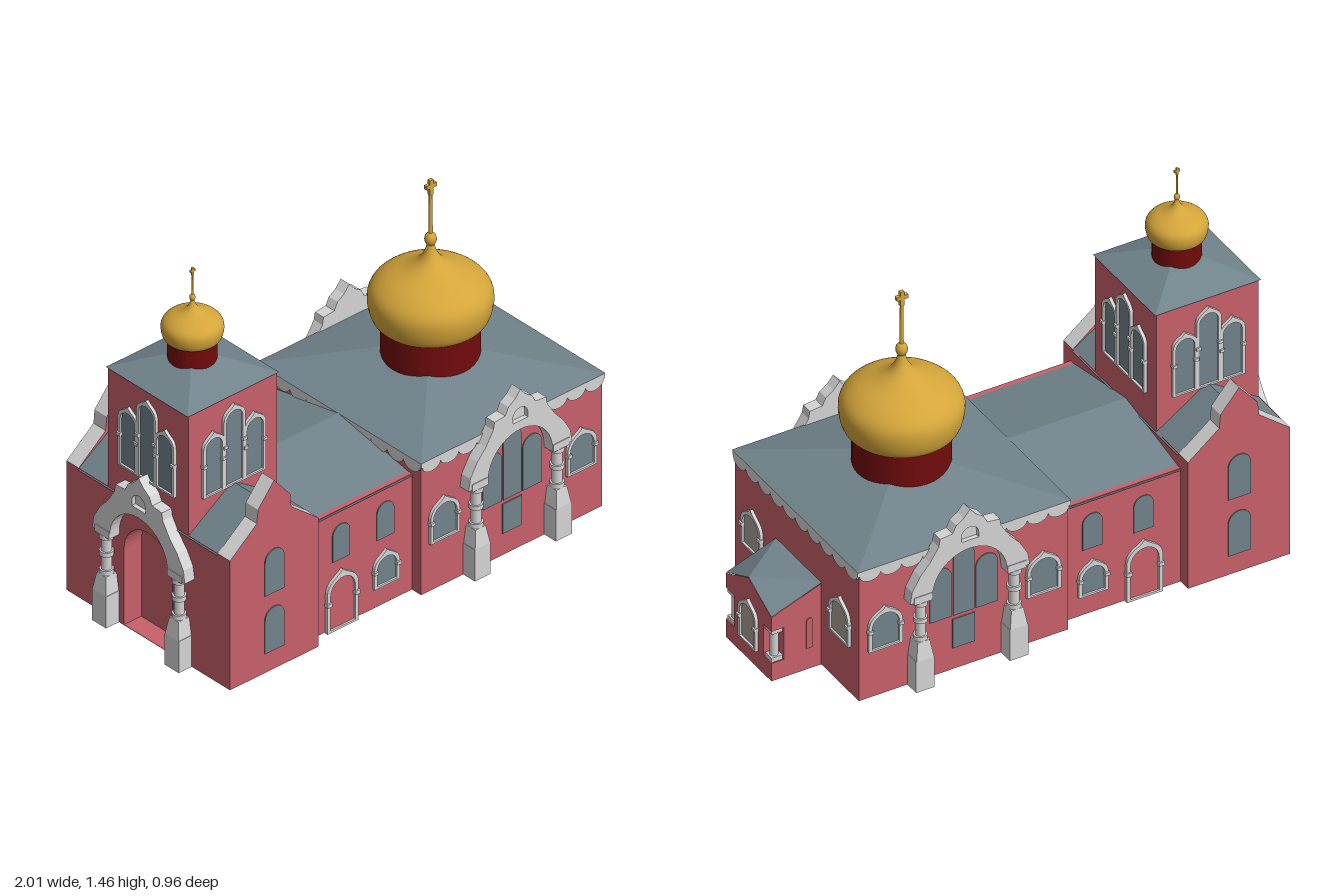
import * as THREE from 'three';

const mat = (name, color) => Object.assign(new THREE.MeshStandardMaterial({ color }), { name });
const red = mat('brick red', 0xc8606a), white = mat('white trim', 0xd4d4d4), slate = mat('slate', 0x71838b);
const gold = mat('gold', 0xd4a53a), maroon = mat('maroon', 0x720b0d), beige = mat('beige pane', 0xaa9f96);

function add(parent, name, geo, material, x = 0, y = 0, z = 0) {
  const m = new THREE.Mesh(geo, material);
  m.name = name;
  m.position.set(x, y, z);
  parent.add(m);
  return m;
}
function group(parent, name, x = 0, y = 0, z = 0, ry = 0) {
  const g = new THREE.Group();
  g.name = name;
  g.position.set(x, y, z);
  g.rotation.y = ry;
  parent.add(g);
  return g;
}
// box given by its minimum and maximum corners
function block(parent, name, m, x0, x1, y0, y1, z0, z1) {
  return add(parent, name, new THREE.BoxGeometry(x1 - x0, y1 - y0, z1 - z0), m, (x0 + x1) / 2, (y0 + y1) / 2, (z0 + z1) / 2);
}
const flat = (geo) => { const g = geo.toNonIndexed(); g.computeVertexNormals(); return g; };
const extrude = (shape, depth) => new THREE.ExtrudeGeometry(shape, { depth, bevelEnabled: false, curveSegments: 10 });
const poly = (pts) => new THREE.Shape(pts.map((p) => new THREE.Vector2(...p)));
// four-sided frustum
function taper(rTop, rBottom, h) {
  const g = flat(new THREE.CylinderGeometry(rTop * Math.SQRT2, rBottom * Math.SQRT2, h, 4));
  g.rotateY(Math.PI / 4);
  g.computeVertexNormals();
  return g;
}
// convex polygons as a fan of triangles
function faces(list) {
  const p = [];
  list.forEach((f) => { for (let i = 1; i < f.length - 1; i++) p.push(...f[0], ...f[i], ...f[i + 1]); });
  const g = new THREE.BufferGeometry();
  g.setAttribute('position', new THREE.Float32BufferAttribute(p, 3));
  g.computeVertexNormals();
  return g;
}

// arched outline standing on y, with an optional pointed tip
function arch(x, y, w, h, tip = 0) {
  const r = w / 2, s = new THREE.Shape(), yc = y + h - r;
  s.moveTo(x - r, y);
  s.lineTo(x + r, y);
  s.lineTo(x + r, yc);
  if (tip) {
    s.bezierCurveTo(x + r, yc + r * 0.8, x + r * 0.35, yc + r * 0.8, x, y + h + tip);
    s.bezierCurveTo(x - r * 0.35, yc + r * 0.8, x - r, yc + r * 0.8, x - r, yc);
  } else s.absarc(x, yc, r, 0, Math.PI, false);
  s.closePath();
  return s;
}
function windowAt(parent, x, y, w, h, pane = slate, trim = 0) {
  add(parent, 'windowPane', extrude(arch(x, y, w, h), 0.004), pane);
  if (!trim) return;
  const s = arch(x, y - trim * 0.6, w + 2 * trim, h + trim * 1.8, trim);
  s.holes.push(arch(x, y, w, h));
  add(parent, 'windowTrim', extrude(s, 0.012), white);
  for (const k of [-1, 1]) add(parent, 'trimBead', new THREE.BoxGeometry(trim * 1.5, trim, 0.018), white, x + k * (w + trim) / 2, y + h * 0.55, 0.009);
}

// white portal: two pillars carrying a pointed, stepped arch
function portal(parent) {
  const g = group(parent, 'portal');
  for (const k of [-1, 1]) {
    const x = k * 0.188;
    add(g, 'pillarBase', new THREE.BoxGeometry(0.074, 0.13, 0.06), white, x, 0.065, 0.03);
    add(g, 'pillarTaper', taper(0.024, 0.035, 0.07), white, x, 0.165, 0.025);
    add(g, 'pillarShaft', new THREE.CylinderGeometry(0.019, 0.019, 0.17, 16), white, x, 0.28, 0.025);
    for (const y of [0.21, 0.285, 0.355]) add(g, 'pillarRing', new THREE.CylinderGeometry(0.026, 0.026, 0.018, 16), white, x, y, 0.025);
    add(g, 'pillarCapital', new THREE.BoxGeometry(0.075, 0.03, 0.048), white, x, 0.378, 0.024);
  }
  const half = [[0.24, 0.37], [0.232, 0.42], [0.2, 0.475], [0.16, 0.52], [0.125, 0.575], [0.12, 0.605], [0.07, 0.61], [0.055, 0.64], [0.025, 0.66]];
  const s = new THREE.Shape();
  s.moveTo(0.15, 0.37);
  half.forEach((p) => s.lineTo(p[0], p[1]));
  s.lineTo(0, 0.69);
  half.slice().reverse().forEach((p) => s.lineTo(-p[0], p[1]));
  s.lineTo(-0.15, 0.37);
  s.absarc(0, 0.375, 0.15, Math.PI, 0, true);
  s.holes.push(arch(0, 0.56, 0.07, 0.055));
  add(g, 'portalArch', extrude(s, 0.045), white);
  add(g, 'portalNiche', extrude(arch(0, 0.56, 0.07, 0.055), 0.028), white);
}

// row of hanging half-round scallops under a narrow band
function cornice(parent) {
  const n = 10, w = 0.84 / n, s = new THREE.Shape();
  s.moveTo(0.425, 0.55);
  s.lineTo(-0.425, 0.55);
  s.lineTo(-0.425, 0.53);
  for (let i = 0; i < n; i++) {
    const x = -0.42 + w * (i + 0.5);
    s.absellipse(x, 0.53, w / 2, 0.03, Math.PI, Math.PI * 2, false);
  }
  s.lineTo(0.425, 0.53);
  s.closePath();
  add(parent, 'scallopedCornice', extrude(s, 0.008), white);
}

// drum, onion dome, ball and cross
function cupola(parent, name, x, y, k) {
  const g = group(parent, name, x, y, 0);
  g.scale.setScalar(k);
  add(g, 'drum', new THREE.CylinderGeometry(0.175, 0.175, 0.16, 40), maroon, 0, -0.075, 0);
  const pts = [[0, 0], [0.172, 0], [0.2, 0.02], [0.215, 0.055], [0.221, 0.1], [0.215, 0.135], [0.195, 0.165], [0.155, 0.195], [0.09, 0.225],
    [0.045, 0.255], [0.022, 0.29], [0.012, 0.325]].map((p) => new THREE.Vector2(...p));
  const curve = new THREE.SplineCurve(pts.slice(1)).getPoints(36);
  add(g, 'onionDome', new THREE.LatheGeometry([pts[0], ...curve], 40), gold);
  const ball = add(g, 'ball', new THREE.SphereGeometry(0.022, 16, 12), gold, 0, 0.34, 0);
  ball.scale.y = 1.25;
  add(g, 'crossStem', new THREE.CylinderGeometry(0.006, 0.008, 0.22, 8), gold, 0, 0.46, 0);
  add(g, 'crossBar', new THREE.BoxGeometry(0.046, 0.016, 0.014), gold, 0, 0.56, 0);
  add(g, 'crossUpright', new THREE.BoxGeometry(0.016, 0.06, 0.014), gold, 0, 0.555, 0);
}

function addMainHall(model) {
  const hall = group(model, 'mainHall', 0.37, 0, 0);
  block(hall, 'hallWalls', red, -0.42, 0.42, 0, 0.55, -0.42, 0.42);
  add(hall, 'hallRoof', taper(0.001, 0.428, 0.115), slate, 0, 0.6075, 0);
  for (let i = 0; i < 4; i++) {
    const a = i * Math.PI / 2;
    const f = group(hall, 'hallFacade', 0.42 * Math.sin(a), 0, 0.42 * Math.cos(a), a);
    cornice(f);
    if (i === 1) for (const k of [-1, 1]) windowAt(f, k * 0.298, 0.205, 0.11, 0.14, beige, 0.013);
    if (i % 2) continue;
    portal(f);
    for (const k of [-1, 1]) {
      windowAt(f, k * 0.318, 0.205, 0.11, 0.14, slate, 0.013);
      windowAt(f, k * 0.092, 0.228, 0.088, 0.215);
    }
    windowAt(f, 0, 0.228, 0.085, 0.28);
    block(f, 'lowerPane', slate, -0.045, 0.045, 0.09, 0.212, 0, 0.004);
  }
  cupola(model, 'mainCupola', 0.37, 0.745, 1);
}

function addNave(model) {
  const nave = group(model, 'nave');
  block(nave, 'naveWalls', red, -0.54, -0.04, 0, 0.48, -0.372, 0.372);
  const roof = extrude(poly([[-0.378, 0.475], [0.378, 0.475], [0, 0.55]]), 0.5);
  roof.rotateY(Math.PI / 2);
  add(nave, 'naveRoof', roof, slate, -0.54, 0, 0);
  for (const k of [1, -1]) {
    const f = group(nave, 'naveFacade', 0, 0, k * 0.372, k > 0 ? 0 : Math.PI);
    windowAt(f, -0.38 * k, 0.275, 0.08, 0.145);
    windowAt(f, -0.175 * k, 0.275, 0.08, 0.145);
    windowAt(f, -0.175 * k, 0.09, 0.092, 0.11, slate, 0.013);
    windowAt(f, -0.38 * k, 0.004, 0.115, 0.2, red, 0.015);
  }
}

function addBellTower(model) {
  const t = group(model, 'bellTower', -0.735, 0, 0);
  // base with an arched west entrance recess
  block(t, 'towerBase', red, -0.125, 0.205, 0, 0.535, -0.36, 0.36);
  const wall = poly([[-0.36, 0], [0.36, 0], [0.36, 0.535], [-0.36, 0.535]]);
  wall.holes.push(arch(0, 0.002, 0.25, 0.44));
  const west = extrude(wall, 0.08);
  west.rotateY(-Math.PI / 2);
  add(t, 'westWall', west, red, -0.125, 0, 0);
  add(t, 'crossRoof', extrude(poly([[-0.21, 0.53], [0.21, 0.53], [0, 0.67]]), 0.72), slate, 0, 0, -0.36);
  // stepped gable ends with white copings
  const gable = poly([[-0.205, 0.535], [0.205, 0.535], [0.13, 0.595], [0.08, 0.635], [0.075, 0.69], [0, 0.78], [-0.075, 0.69], [-0.08, 0.635], [-0.13, 0.595]]);
  for (const k of [1, -1]) {
    const f = group(t, 'gableFacade', 0, 0, k * 0.423, k > 0 ? 0 : Math.PI);
    block(f, 'gableWall', red, -0.205, 0.205, 0, 0.535, -0.063, 0);
    add(f, 'steppedGable', extrude(gable, 0.063), [red, white], 0, 0, -0.063);
    windowAt(f, 0, 0.08, 0.09, 0.18);
    windowAt(f, 0, 0.318, 0.09, 0.18);
  }
  portal(group(t, 'westFacade', -0.205, 0, 0, -Math.PI / 2));
  // belfry
  block(t, 'belfryWalls', red, -0.205, 0.205, 0.535, 1.03, -0.208, 0.208);
  add(t, 'belfryRoof', taper(0.001, 0.212, 0.09), slate, 0, 1.075, 0);
  for (let i = 0; i < 4; i++) {
    const a = i * Math.PI / 2;
    const f = group(t, 'belfryFacade', 0.205 * Math.sin(a), 0, 0.208 * Math.cos(a), a);
    for (const k of [-1, 0, 1]) windowAt(f, k * 0.095, 0.67, 0.076, k ? 0.225 : 0.3, slate, 0.012);
  }
  cupola(model, 'bellCupola', -0.735, 1.16, 0.5);
}

function addEastPorch(model) {
  const p = group(model, 'eastPorch', 0, 0, -0.01), w = 0.155, x0 = 0.785, x1 = 0.99;
  block(p, 'porchPlinth', red, x0, x1, 0, 0.075, -w, w);
  block(p, 'porchCore', red, x0, 0.94, 0.075, 0.21, -w, w);
  block(p, 'porchFront', red, 0.94, x1, 0.075, 0.21, -w + 0.055, w - 0.055);
  const side = [[x0, 0.21, w], [x1, 0.21, w], [x1, 0.27, w], [x0, 0.345, w]];
  const flip = (f) => f.map(([x, y, z]) => [x, y, -z]).reverse();
  add(p, 'porchUpperWalls', faces([side, flip(side),
    [[x1, 0.21, w], [x1, 0.21, -w], [x1, 0.27, -w], [x1, 0.345, 0], [x1, 0.27, w]],
    [[x0, 0.21, -w], [x1, 0.21, -w], [x1, 0.21, w], [x0, 0.21, w]]]), red);
  const slope = [[x0, 0.347, w], [x1, 0.272, w], [x1, 0.347, 0]];
  add(p, 'porchRoof', faces([slope, flip(slope), [[x0, 0.347, w], [x1, 0.347, 0], [x0, 0.347, -w]]]), slate);
  for (const k of [-1, 1]) {
    add(p, 'cornerColumn', new THREE.CylinderGeometry(0.016, 0.016, 0.135, 14), white, 0.964, 0.1425, k * 0.128);
    for (const y of [0.084, 0.201]) add(p, 'columnBlock', new THREE.BoxGeometry(0.044, 0.018, 0.044), white, 0.964, y, k * 0.128);
    const f = group(p, 'porchSide', 0.838, 0, k * w, k > 0 ? 0 : Math.PI);
    windowAt(f, 0, 0.09, 0.026, 0.125, red);
  }
  windowAt(group(p, 'porchFacade', x1, 0, 0, Math.PI / 2), 0.005, 0.08, 0.096, 0.155, beige, 0.012);
}

export function createModel() {
  const model = new THREE.Group();
  model.name = 'church';
  addMainHall(model);
  addNave(model);
  addBellTower(model);
  addEastPorch(model);
  return model;
}
